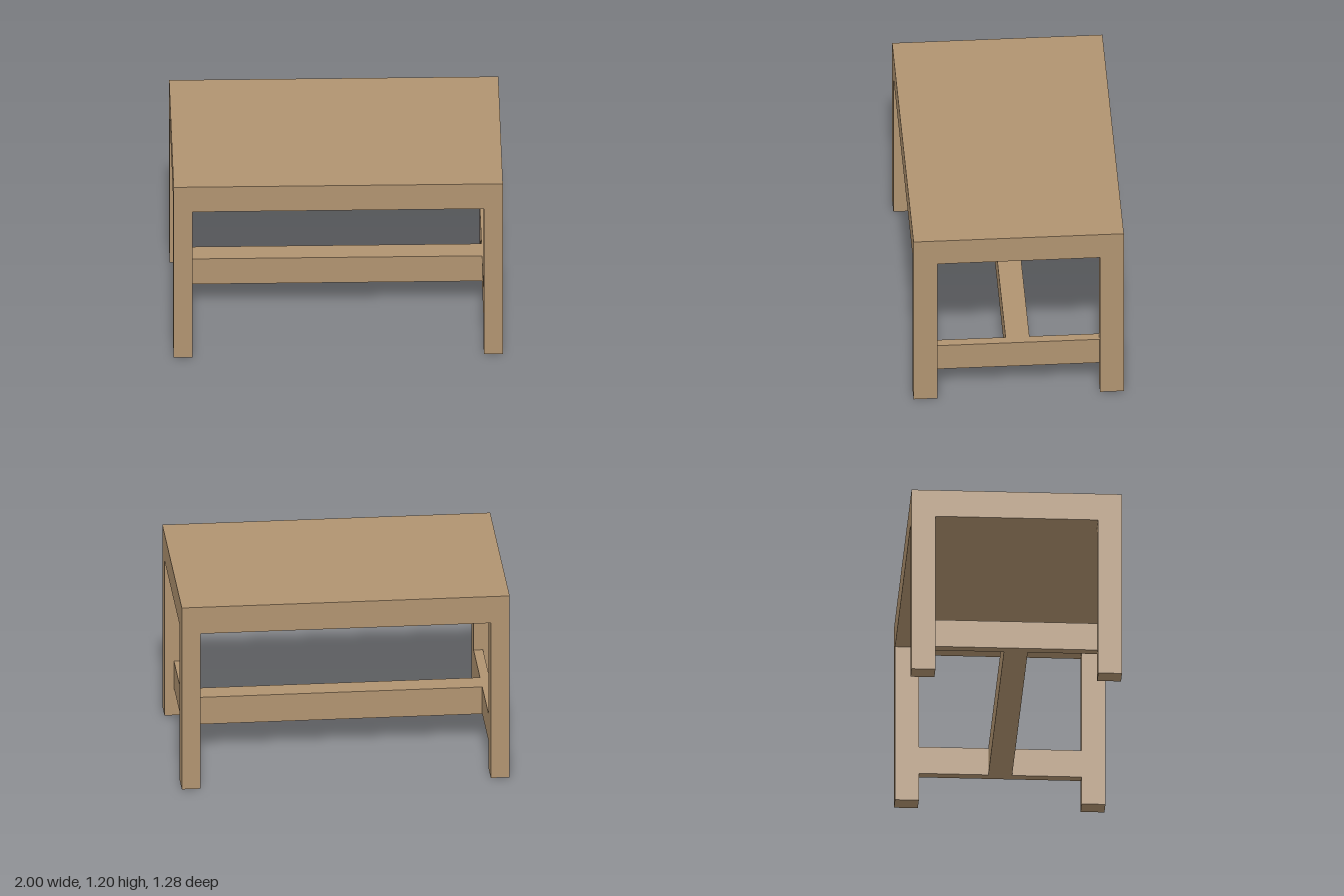
import * as THREE from 'three';

export function createModel() {
  const group = new THREE.Group();
  group.name = 'table';
  const wood = new THREE.MeshStandardMaterial({ color: 0xb09370 });
  wood.name = 'wood';

  const W = 1, D = 0.64, H = 1.2;          // half width, half depth, height
  const legW = 0.115, legD = 0.145;        // leg section
  const under = 1.025;                     // underside of the top
  const railLow = 0.18, railHigh = 0.358;  // stretcher heights

  // Box given by its extents
  function box(name, x0, x1, y0, y1, z0, z1) {
    const mesh = new THREE.Mesh(new THREE.BoxGeometry(x1 - x0, y1 - y0, z1 - z0), wood);
    mesh.position.set((x0 + x1) / 2, (y0 + y1) / 2, (z0 + z1) / 2);
    mesh.name = name;
    group.add(mesh);
  }

  // Thick solid top
  box('tableTop', -W, W, under, H, -D, D);

  // Four corner legs, flush with the top
  for (const [xSide, x] of [['Left', W - legW], ['Right', -W]]) {
    box('front' + xSide + 'Leg', x, x + legW, 0, under, D - legD, D);
    box('back' + xSide + 'Leg', x, x + legW, 0, under, -D, -D + legD);
  }

  // Side stretchers, flush with the inner faces of the legs
  const inner = W - legW, outer = W - legW / 2;
  box('leftStretcher', inner, outer, railLow, railHigh, -D + legD, D - legD);
  box('rightStretcher', -outer, -inner, railLow, railHigh, -D + legD, D - legD);

  // Long middle stretcher
  box('middleStretcher', -inner, inner, railLow, railHigh, -legD / 2, legD / 2);

  return group;
}
